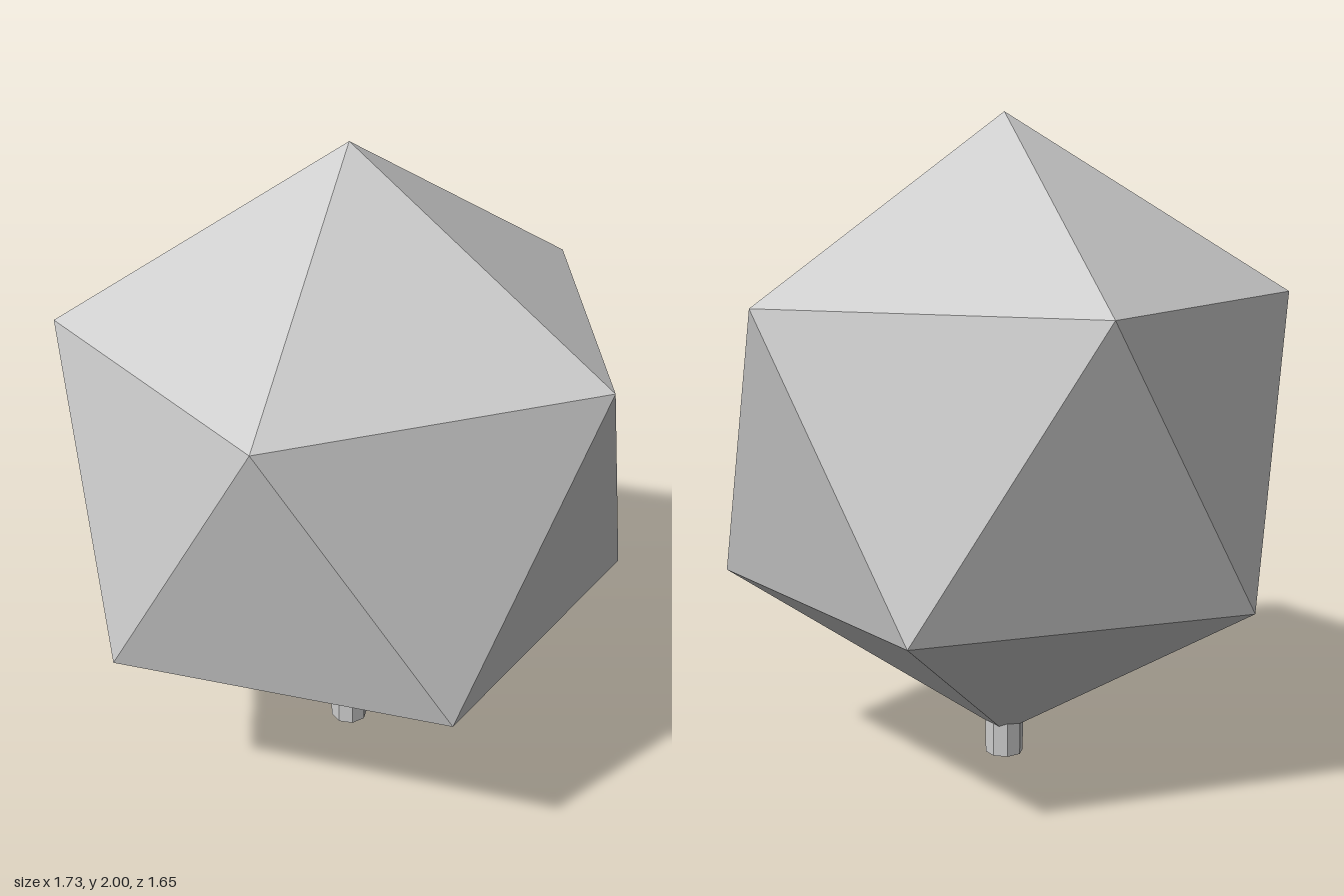
import * as THREE from 'three';

export function createModel() {
  const group = new THREE.Group();
  const material = new THREE.MeshStandardMaterial({ color: 0xcccccc, flatShading: true });

  // Faceted body: a regular icosahedron turned to stand on one corner
  const radius = 0.968;
  const phi = (1 + Math.sqrt(5)) / 2;
  const bodyGeometry = new THREE.IcosahedronGeometry(radius, 0);
  bodyGeometry.rotateZ(-Math.atan(1 / phi));
  const body = new THREE.Mesh(bodyGeometry, material);
  body.name = 'facetedBody';
  body.position.y = 2 - radius;
  group.add(body);

  // Short eight-sided stem around the lowest corner
  const stemHeight = 0.11;
  const stem = new THREE.Mesh(new THREE.CylinderGeometry(0.06, 0.06, stemHeight, 8), material);
  stem.name = 'stem';
  stem.position.y = stemHeight / 2;
  group.add(stem);

  return group;
}
